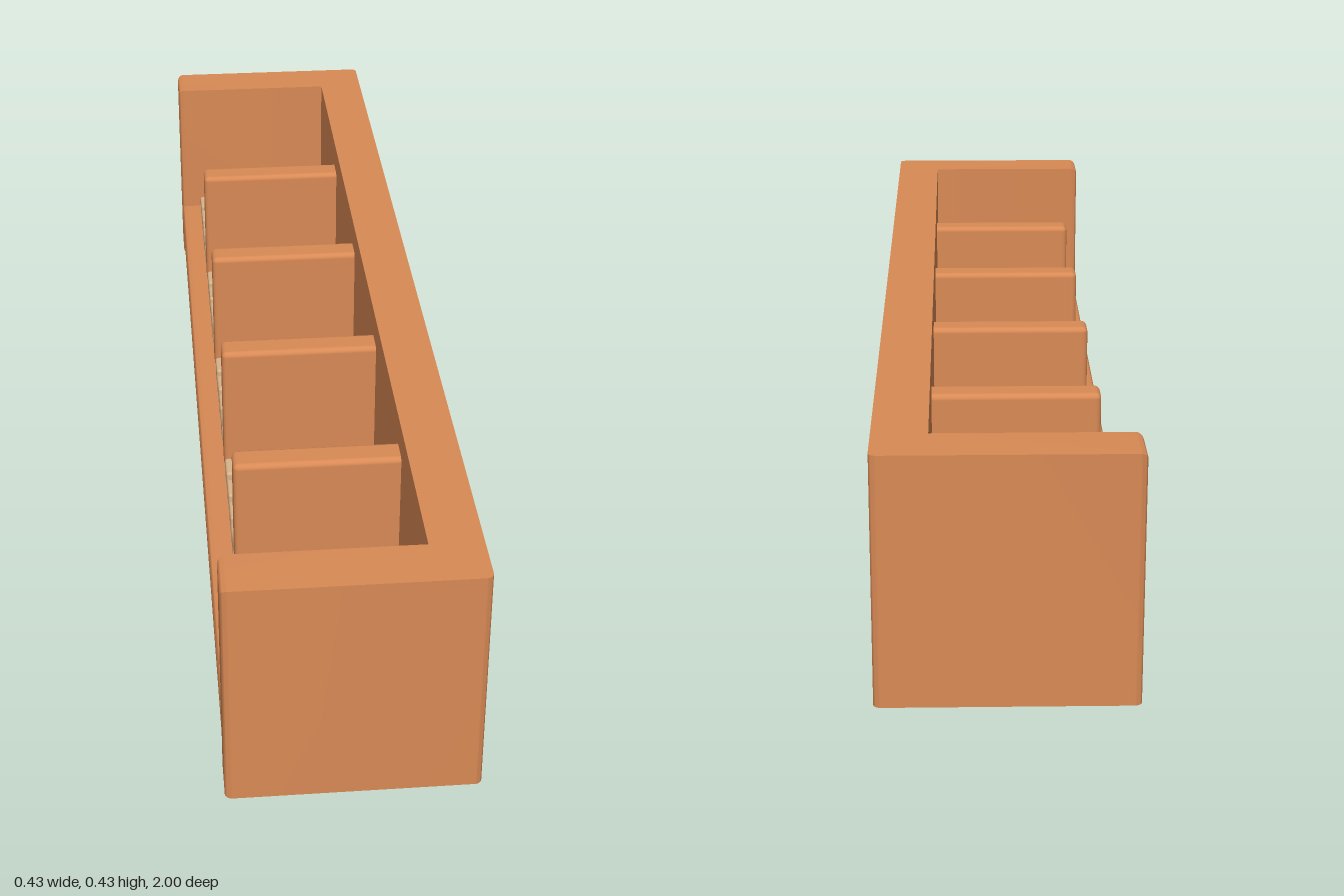
import * as THREE from 'three';
import { toCreasedNormals } from 'three/addons/utils/BufferGeometryUtils.js';
import { RoundedBoxGeometry } from 'three/addons/geometries/RoundedBoxGeometry.js';

const W = 0.2125, H = 0.425, L = 1;      // half width, height, half length
const BACK = 0.122, END = 0.905;         // inner faces of back rest and end walls
const SEAT = 0.125, LIP = 0.07, R = 0.012;

const wood = new THREE.MeshStandardMaterial({ color: 0xd98a55, side: THREE.DoubleSide });
const paleWood = new THREE.MeshStandardMaterial({ color: 0xdab48a });

// Surface between two matching rows of points
function sheet(name, a, b) {
  const pos = [], index = [];
  a.forEach((p, i) => {
    pos.push(...p, ...b[i]);
    if (i) {
      const k = 2 * i;
      index.push(k - 2, k, k + 1, k - 2, k + 1, k - 1);
    }
  });
  const geo = new THREE.BufferGeometry();
  geo.setAttribute('position', new THREE.Float32BufferAttribute(pos, 3));
  geo.setIndex(index);
  const mesh = new THREE.Mesh(toCreasedNormals(geo, 0.6), wood);
  mesh.name = name;
  return mesh;
}

// Quarter round from angle a0, centred on (u, v)
function arc(u, v, a0, a1, n = 6) {
  return Array.from({ length: n + 1 }, (_, i) => {
    const t = a0 + (a1 - a0) * i / n;
    return [u + R * Math.cos(t), v + R * Math.sin(t)];
  });
}

// How far a rounded edge drops at distance d from the face
const drop = d => d >= R ? 0 : R - Math.sqrt(Math.max(0, R * R - (R - d) ** 2));
const topY = x => H - drop(x + W);

// Hollow end wall with its foot, at +z
function endWall() {
  const g = new THREE.Group();
  const q = Math.PI / 2;
  const path = [
    ...arc(W - R, L - R, 0, q),
    ...arc(-W + R, L - R, q, 2 * q),
    ...arc(-W + R, END + R, 2 * q, 3 * q),
    [BACK, END],
  ];
  g.add(sheet('endWallSides', path.map(([x, z]) => [x, topY(x), z]), path.map(([x, z]) => [x, 0, z])));
  g.add(sheet('footInnerFace',
    [[-W + R, LIP, END], [W, LIP, END]].reverse(),
    [[-W + R, 0, END], [W, 0, END]].reverse()).rotateX(0));

  // Top follows the rounded front edge and corners
  const xs = [];
  for (let i = 0; i <= 6; i++) xs.push(-W + R * (1 - Math.cos(q * i / 6)));
  xs.push(BACK);
  for (let i = 0; i <= 6; i++) xs.push(W - R + R * Math.sin(q * i / 6));
  g.add(sheet('endWallTop',
    xs.map(x => [x, topY(x), L - drop(x + W) - drop(W - x)]),
    xs.map(x => [x, topY(x), END + drop(x + W)])));
  return g;
}

// Block standing on the seat against the back rest, rounded on its free edges
function block(name, z, width, top, r, material) {
  const x0 = -0.17, x1 = BACK - 0.001, y0 = SEAT + 0.001;
  const geo = new RoundedBoxGeometry(x1 - x0 + r, top - y0 + r, width, 3, r);
  geo.translate((x0 + x1 + r) / 2, (top + y0 - r) / 2, z);
  const p = geo.attributes.position;
  for (let i = 0; i < p.count; i++) {
    p.setX(i, Math.min(p.getX(i), x1));
    p.setY(i, Math.max(p.getY(i), y0));
  }
  const mesh = new THREE.Mesh(geo, material);
  mesh.name = name;
  return mesh;
}

export function createModel() {
  const model = new THREE.Group();
  model.name = 'dividedBench';

  // Mirrored end walls
  for (const s of [1, -1]) {
    const end = endWall();
    end.name = s > 0 ? 'frontEndWall' : 'rearEndWall';
    end.scale.z = s;
    model.add(end);
  }

  // Back rest (top rail and inner panel) and seat with rounded lip
  const run = (name, profile, z) => model.add(sheet(name,
    profile.map(([x, y]) => [x, y, -z]), profile.map(([x, y]) => [x, y, z])));
  run('backRest', [[W, H], [BACK, H], [BACK, SEAT]], END);
  run('seat', [[BACK, SEAT], ...arc(-W + R, SEAT - R, Math.PI / 2, Math.PI), [-W, LIP]], END + R);

  // Five bays of four slats, with a divider between bays
  const bay = 0.3755;
  for (let b = 0; b < 5; b++) {
    const mid = (b - 2) * bay;
    for (let i = 0; i < 4; i++) {
      model.add(block('slat', mid + (i - 1.5) * 0.0715, 0.054, 0.16, 0.005, paleWood));
    }
    if (b < 4) model.add(block('divider', mid + bay / 2, 0.054, 0.376, 0.01, wood));
  }
  return model;
}
